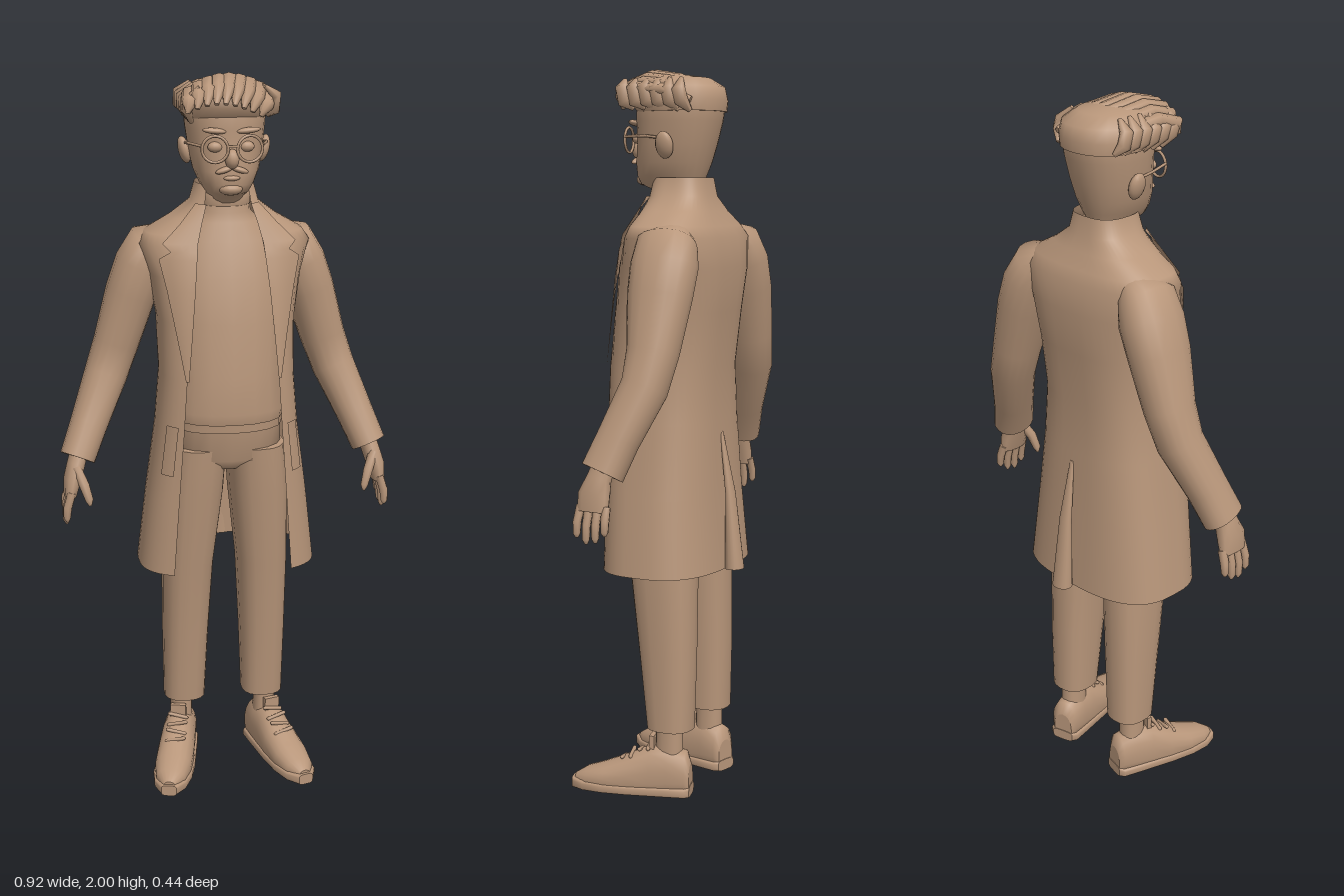
import * as THREE from 'three';

const clay = new THREE.MeshStandardMaterial({ color: 0xb8967a, side: THREE.DoubleSide });
clay.name = 'warm clay';

const Y = new THREE.Vector3(0, 1, 0), Z = new THREE.Vector3(0, 0, 1);
const spow = (v, p) => Math.sign(v) * Math.abs(v) ** p;

// Closed loft: rings are [x, y, z, halfWidth, halfDepth]; ref is the depth axis
function loft(rings, { ref = Z, axis = null, seg = 18, p = 0.9, minY = -1 } = {}) {
  const pts = rings.map(r => new THREE.Vector3(r[0], r[1], r[2]));
  const pos = [], idx = [], last = rings.length - 1;
  rings.forEach((r, k) => {
    const t = axis ? axis.clone() : pts[Math.min(k + 1, last)].clone().sub(pts[Math.max(k - 1, 0)]).normalize();
    const d = ref.clone().addScaledVector(t, -ref.dot(t)).normalize();
    const w = d.clone().cross(t);
    for (let i = 0; i < seg; i++) {
      const a = (i / seg) * Math.PI * 2;
      const v = pts[k].clone().addScaledVector(w, r[3] * spow(Math.sin(a), p)).addScaledVector(d, r[4] * spow(Math.cos(a), p));
      pos.push(v.x, Math.max(v.y, minY), v.z);
      const b = k * seg + i, c = k * seg + (i + 1) % seg;
      if (k < last) idx.push(c, b, b + seg, c, b + seg, c + seg);
    }
  });
  // end caps with their own vertices so the rims stay crisp
  for (const k of [0, last]) {
    const base = pos.length / 3;
    pos.push(...pos.slice(k * seg * 3, (k + 1) * seg * 3), pts[k].x, Math.max(pts[k].y, minY), pts[k].z);
    for (let i = 0; i < seg; i++) {
      const j = (i + 1) % seg;
      if (k) idx.push(base + j, base + i, base + seg); else idx.push(base + i, base + j, base + seg);
    }
  }
  return build(pos, idx);
}

function build(pos, idx) {
  const g = new THREE.BufferGeometry();
  g.setAttribute('position', new THREE.Float32BufferAttribute(pos, 3));
  g.setIndex(idx);
  g.computeVertexNormals();
  return g;
}

// Upright loft from rows of [y, halfWidth, zFront, zBack]
const upright = (rows, opt = {}) =>
  loft(rows.map(([y, rx, f, b]) => [0, y, (f + b) / 2, rx, (f - b) / 2]), { axis: Y, ...opt });

// Open sheet from a grid of points, flipped for the mirrored side
function sheet(grid, flip = false) {
  const n = grid[0].length, idx = [];
  for (let r = 0; r < grid.length - 1; r++) for (let i = 0; i < n - 1; i++) {
    const a = r * n + i, b = a + 1, c = a + n, d = c + 1;
    if (flip) idx.push(a, c, b, b, c, d); else idx.push(a, b, c, b, d, c);
  }
  return build(grid.flat(2), idx);
}

// Coat rows: [y, halfWidth, zFront, zBack, half opening]
const COAT = [
  [0.64, 0.25, 0.15, -0.18, 0.165], [0.85, 0.225, 0.15, -0.165, 0.15], [1.05, 0.197, 0.153, -0.158, 0.135],
  [1.2, 0.184, 0.15, -0.155, 0.125], [1.35, 0.188, 0.132, -0.172, 0.11], [1.47, 0.208, 0.11, -0.183, 0.1],
  [1.55, 0.235, 0.078, -0.172, 0.09], [1.58, 0.215, 0.068, -0.155, 0.085], [1.62, 0.145, 0.058, -0.135, 0.077],
  [1.66, 0.092, 0.05, -0.118, 0.062], [1.71, 0.078, 0.04, -0.11, 0.055]];
const CP = 0.72;

function coatZ(x, y) {
  let k = 0;
  while (k < COAT.length - 2 && COAT[k + 1][0] < y) k++;
  const t = (y - COAT[k][0]) / (COAT[k + 1][0] - COAT[k][0]);
  const [, rx, f, b] = COAT[k].map((v, i) => v + (COAT[k + 1][i] - v) * t);
  return (f + b) / 2 + (f - b) / 2 * Math.max(0, 1 - (Math.abs(x) / rx) ** (2 / CP)) ** (CP / 2);
}

function coatBody() {
  const n = 36;
  return sheet(COAT.map(([y, rx, f, b, xo]) => {
    const a0 = Math.asin((xo / rx) ** (1 / CP));
    return Array.from({ length: n + 1 }, (_, i) => {
      const a = a0 + (2 * Math.PI - 2 * a0) * (i / n);
      return [rx * spow(Math.sin(a), CP), y, (f + b) / 2 + (f - b) / 2 * spow(Math.cos(a), CP)];
    });
  }));
}

export function createModel() {
  const model = new THREE.Group();
  const add = (name, geo, parent = model) => {
    const m = new THREE.Mesh(geo, clay);
    m.name = name;
    parent.add(m);
    return m;
  };
  const blob = (name, x, y, z, rx, ry, rz, rot = 0) => {
    const m = add(name, new THREE.SphereGeometry(1, 14, 10));
    m.position.set(x, y, z); m.scale.set(rx, ry, rz); m.rotation.z = rot;
  };

  // Torso and coat
  add('sweater', upright([[1.07, 0.155, 0.135, -0.11], [1.1, 0.16, 0.142, -0.12], [1.2, 0.152, 0.138, -0.12],
    [1.35, 0.16, 0.122, -0.13], [1.47, 0.16, 0.1, -0.14], [1.56, 0.14, 0.07, -0.13], [1.61, 0.095, 0.055, -0.11],
    [1.635, 0.07, 0.045, -0.09], [1.69, 0.066, 0.04, -0.09]]));
  add('neckFold', upright([[1.65, 0.066, 0.04, -0.09], [1.655, 0.071, 0.047, -0.095], [1.685, 0.07, 0.046, -0.095], [1.69, 0.062, 0.04, -0.09]]));
  add('coat', coatBody());
  add('backVent', loft([[0.01, 1.02, -0.157, 0.006, 0.004], [0.01, 0.85, -0.185, 0.02, 0.012], [0.012, 0.64, -0.2, 0.03, 0.025]], { axis: Y }));

  // Hips and belt
  add('hips', upright([[0.925, 0.06, 0.07, -0.08], [0.96, 0.155, 0.11, -0.12], [1.08, 0.152, 0.12, -0.12]]));
  add('belt', upright([[1.045, 0.155, 0.125, -0.12], [1.075, 0.155, 0.128, -0.12]]));

  for (const s of [1, -1]) {
    const side = s > 0 ? 'left' : 'right';

    // Lapel and pocket laid over the coat front
    const strip = (rows, lift) => sheet(rows.map(([y, a, b]) => Array.from({ length: 5 }, (_, i) => {
      const x = a + (b - a) * i / 4;
      return [s * x, y, coatZ(x, y) + lift];
    })), s < 0);
    add(side + 'Lapel', strip([[1.2, 0.122, 0.13], [1.32, 0.111, 0.15], [1.44, 0.1, 0.172], [1.52, 0.092, 0.19],
      [1.54, 0.09, 0.16], [1.56, 0.088, 0.18], [1.61, 0.075, 0.13], [1.66, 0.06, 0.085]], 0.011));
    add(side + 'Pocket', strip([[0.93, 0.165, 0.195], [1.07, 0.15, 0.178]], 0.008));

    // Arm and cuff
    add(side + 'Sleeve', loft([[s * 0.15, 1.56, -0.08, 0.035, 0.05], [s * 0.195, 1.535, -0.085, 0.064, 0.083],
      [s * 0.22, 1.48, -0.09, 0.072, 0.092], [s * 0.25, 1.4, -0.092, 0.07, 0.088], [s * 0.293, 1.26, -0.095, 0.063, 0.07],
      [s * 0.325, 1.17, -0.087, 0.06, 0.063], [s * 0.38, 1.04, -0.04, 0.052, 0.058], [s * 0.415, 0.955, -0.012, 0.049, 0.06]]));

    // Hand
    add(side + 'Palm', loft([[s * 0.408, 0.98, -0.015, 0.025, 0.03], [s * 0.42, 0.94, -0.005, 0.026, 0.034],
      [s * 0.432, 0.9, 0.003, 0.025, 0.046], [s * 0.44, 0.855, 0.004, 0.018, 0.046]], { seg: 12 }));
    for (let i = 0; i < 4; i++) {
      const z = 0.04 - i * 0.025, len = [0.075, 0.09, 0.085, 0.065][i];
      add(side + 'Finger', loft([[s * 0.437, 0.87, z, 0.012, 0.012], [s * 0.45, 0.865 - len * 0.5, z * 1.1, 0.012, 0.011],
        [s * 0.452, 0.865 - len * 0.9, z * 1.1, 0.01, 0.01], [s * 0.451, 0.862 - len, z * 1.1, 0.004, 0.004]], { seg: 8 }));
    }
    add(side + 'Thumb', loft([[s * 0.422, 0.935, 0.02, 0.014, 0.015], [s * 0.402, 0.89, 0.045, 0.014, 0.014],
      [s * 0.39, 0.85, 0.055, 0.011, 0.011], [s * 0.388, 0.835, 0.056, 0.004, 0.004]], { seg: 8 }));

    // Trouser leg and ankle
    add(side + 'TrouserLeg', loft([[s * 0.116, 0.19, -0.055, 0.06, 0.065], [s * 0.113, 0.4, -0.045, 0.066, 0.08],
      [s * 0.107, 0.63, -0.03, 0.073, 0.095], [s * 0.092, 0.85, -0.012, 0.083, 0.11], [s * 0.08, 0.99, -0.004, 0.08, 0.115]],
      { axis: Y, p: 0.82 }));
    add(side + 'Ankle', loft([[s * 0.125, 0.08, -0.055, 0.033, 0.04], [s * 0.125, 0.22, -0.055, 0.03, 0.037]], { axis: Y }));

    // Shoe, turned outward
    const shoe = new THREE.Group();
    shoe.name = side + 'Shoe';
    shoe.position.set(s * 0.128, 0, -0.055);
    shoe.rotation.y = s * 0.26;
    model.add(shoe);
    const body = [[-0.062, 0.04, 0.03, 0.05], [-0.05, 0.06, 0.043, 0.068], [0, 0.06, 0.047, 0.082], [0.05, 0.055, 0.05, 0.085],
      [0.11, 0.045, 0.054, 0.065], [0.18, 0.035, 0.053, 0.045], [0.235, 0.028, 0.042, 0.034], [0.27, 0.022, 0.018, 0.018]];
    add('shoeUpper', loft(body.map(([z, y, w, h]) => [0, y, z, w, h]), { ref: Y, axis: Z, minY: 0.01 }), shoe);
    add('shoeSole', loft(body.map(([z, , w]) => [0, 0.016, z * 1.03, w + 0.004, 0.016]), { ref: Y, axis: Z, p: 0.5 }), shoe);
    for (let i = 0; i < 4; i++) {
      const lace = add('lace', new THREE.CapsuleGeometry(0.006, 0.05, 3, 6), shoe);
      lace.position.set(0, 0.138 - i * 0.013, 0.055 + i * 0.025);
      lace.rotation.z = Math.PI / 2 + (i % 2 ? 0.2 : -0.2);
    }
    add('shoeTongue', new THREE.BoxGeometry(0.045, 0.05, 0.014), shoe).position.set(0, 0.145, 0.045);

    // Ear, eye, brow and glasses
    blob(side + 'Ear', s * 0.107, 1.795, -0.03, 0.016, 0.037, 0.026, -s * 0.25);
    blob(side + 'Eye', s * 0.042, 1.815, 0.085, 0.02, 0.014, 0.014);
    blob(side + 'Brow', s * 0.045, 1.857, 0.092, 0.032, 0.008, 0.012, s * 0.1);
    const lens = add(side + 'GlassesRim', new THREE.TorusGeometry(0.034, 0.004, 6, 24));
    lens.position.set(s * 0.046, 1.812, 0.11);
    lens.rotation.y = s * 0.15;
    add(side + 'GlassesTemple', loft([[s * 0.08, 1.82, 0.103, 0.004, 0.004], [s * 0.105, 1.82, 0.03, 0.004, 0.004],
      [s * 0.108, 1.812, -0.04, 0.004, 0.004]], { ref: Y, seg: 6 }));
    blob(side + 'Moustache', s * 0.02, 1.757, 0.1, 0.025, 0.008, 0.012, -s * 0.3);
  }
  add('glassesBridge', new THREE.BoxGeometry(0.026, 0.006, 0.006)).position.set(0, 1.82, 0.116);

  // Head and face
  add('head', upright([[1.64, 0.05, 0.03, -0.08], [1.68, 0.052, 0.06, -0.085], [1.692, 0.06, 0.09, -0.088], [1.715, 0.073, 0.1, -0.097],
    [1.75, 0.088, 0.1, -0.11], [1.8, 0.098, 0.095, -0.125], [1.86, 0.106, 0.095, -0.14], [1.91, 0.11, 0.095, -0.148],
    [1.945, 0.1, 0.08, -0.14], [1.965, 0.06, 0.04, -0.1]], { seg: 24 }));
  blob('nose', 0, 1.785, 0.102, 0.019, 0.026, 0.023);
  blob('lowerLip', 0, 1.735, 0.098, 0.022, 0.007, 0.01);
  blob('chin', 0, 1.705, 0.083, 0.032, 0.017, 0.024);

  // Hair: cap, swept locks on top and short side tufts
  add('hairCap', upright([[1.885, 0.113, 0.09, -0.15], [1.915, 0.12, 0.115, -0.153], [1.95, 0.112, 0.115, -0.146],
    [1.975, 0.08, 0.085, -0.105], [1.983, 0.03, 0.03, -0.05]], { seg: 24 }));
  const wob = i => Math.sin(i * 12.9898) * 0.5;
  for (let i = 0; i < 9; i++) {
    const x = -0.1 + i * 0.025, drop = 3.2 * x * x, j = wob(i + 1) * 0.02;
    add('topLock', loft([[x * 0.8 + 0.02, 1.945 - drop, -0.1 + j, 0.008, 0.008], [x + 0.01, 1.972 - drop, -0.03, 0.022, 0.016],
      [x, 1.98 - drop + j * 0.4, 0.05, 0.024, 0.018], [x - 0.012, 1.96 - drop + j, 0.11, 0.02, 0.018],
      [x * 0.95 - 0.022, 1.92 - drop * 0.6 + j, 0.138 - drop * 0.8, 0.006, 0.006]], { ref: Y, seg: 8 }));
  }
  for (let i = 0; i < 6; i++) for (const s of [1, -1]) {
    const z = 0.085 - i * 0.034, j = wob(i + (s > 0 ? 3 : 11)) * 0.015;
    add('sideTuft', loft([[s * 0.1, 1.885 + j, z - 0.02, 0.006, 0.006], [s * 0.115, 1.91, z, 0.014, 0.022],
      [s * 0.116, 1.94 + j, z + 0.008, 0.014, 0.02], [s * 0.085, 1.97, z + 0.015, 0.005, 0.006]], { seg: 8 }));
  }
  return model;
}
